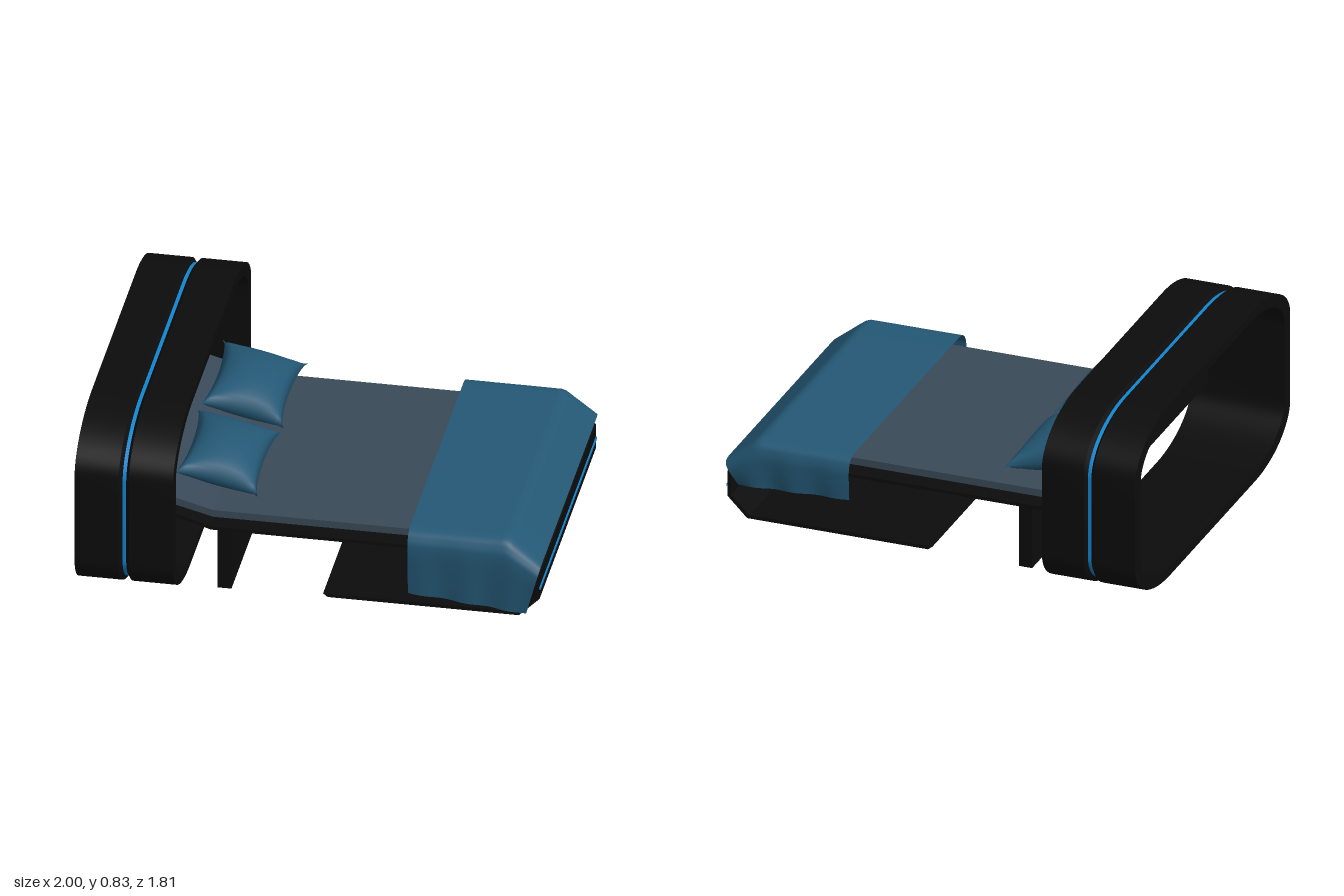
import * as THREE from 'three';
import { toCreasedNormals, mergeGeometries, mergeVertices } from 'three/addons/utils/BufferGeometryUtils.js';

const V2 = (x, y) => new THREE.Vector2(x, y);

function mat(name, color, side = THREE.FrontSide) {
  const m = new THREE.MeshStandardMaterial({ color, side });
  m.name = name;
  return m;
}

// Surface through rows of points (each row has the same length)
function loft(rows) {
  const n = rows[0].length, index = [];
  for (let i = 0; i < rows.length - 1; i++) {
    for (let j = 0; j < n - 1; j++) {
      const a = i * n + j, b = a + n;
      index.push(a, b, a + 1, b, b + 1, a + 1);
    }
  }
  const geo = new THREE.BufferGeometry();
  geo.setAttribute('position', new THREE.Float32BufferAttribute(rows.flat(2), 3));
  geo.setIndex(index);
  geo.computeVertexNormals();
  return geo;
}

// Closed outline with elliptical corners, standing in the z-y plane
function outline(x, halfZ, halfY, rz, ry) {
  const pts = [], steps = 14;
  for (let q = 0; q < 4; q++) {
    for (let k = 0; k <= steps; k++) {
      const a = (q + k / steps) * Math.PI / 2;
      const sz = q === 0 || q === 3 ? -1 : 1, sy = q < 2 ? 1 : -1;
      pts.push([x, 0.42 + sy * (halfY - ry) + ry * Math.sin(a), sz * (halfZ - rz) - rz * Math.cos(a)]);
    }
  }
  pts.push([...pts[0]]);
  return pts;
}
const outer = (x, inset) => outline(x, 0.905 - inset, 0.41 - inset, 0.405, 0.205);
const inner = (x) => outline(x, 0.84, 0.37, 0.4, 0.185);

// Side profile in x-y, extruded across z
function slab(points, z0, z1) {
  const shape = new THREE.Shape(points.map(([x, y]) => V2(x, y)));
  return new THREE.ExtrudeGeometry(shape, { depth: z1 - z0, bevelEnabled: false }).translate(0, 0, z0);
}

// Plump cushion with pinched edges and pointed corners
function pillowGeometry(halfX, halfZ, halfT) {
  const sides = [1, -1].map((s) => {
    const g = new THREE.PlaneGeometry(2, 2, 24, 28).rotateX(-s * Math.PI / 2);
    g.deleteAttribute('uv');
    g.deleteAttribute('normal');
    const p = g.attributes.position;
    for (let i = 0; i < p.count; i++) {
      const u = p.getX(i), v = p.getZ(i);
      const fu = Math.max(0, 1 - u * u), fv = Math.max(0, 1 - v * v);
      p.setXYZ(i,
        u * (halfX - 0.032 * Math.pow(fv, 0.6)),
        s * halfT * Math.pow(fu * fv, 0.48),
        v * (halfZ - 0.045 * Math.pow(fu, 0.6)));
    }
    return g;
  });
  const geo = mergeVertices(mergeGeometries(sides), 1e-4);
  geo.computeVertexNormals();
  return geo;
}

// Throw draped over the foot of the bed, longer on one side
function throwGeometry() {
  const section = new THREE.SplineCurve([
    V2(0.688, 0), V2(0.697, 0.13), V2(0.704, 0.27), V2(0.695, 0.335), V2(0.65, 0.38), V2(0.5, 0.387),
    V2(0, 0.387), V2(-0.5, 0.387), V2(-0.63, 0.382), V2(-0.665, 0.34), V2(-0.668, 0.27), V2(-0.662, 0.19),
  ]).getPoints(66);
  const rows = [], steps = 30;
  for (let i = 0; i <= steps; i++) {
    const u = i / steps;
    const xTop = 0.415 + 0.58 * u;
    const top = 0.387 - 0.8 * Math.max(0, xTop - 0.85);
    rows.push(section.map(({ x: z, y }) => {
      const bottom = z > 0 ? 0.08 - 0.05 * u : 0.19 - 0.02 * u;
      const base = z > 0 ? 0 : 0.19;
      const h = Math.min(1, (y - base) / (0.387 - base));
      const hang = 1 - h;
      const x = xTop - 0.065 * u * u * hang;
      const fold = 0.006 * hang * Math.sin(u * 17) * Math.sign(z);
      return [x, bottom + (top - bottom) * h, z + fold];
    }));
  }
  return loft(rows);
}

export function createModel() {
  const model = new THREE.Group();
  model.name = 'bed';
  const black = mat('black lacquer', 0x0c0c0c);
  const blue = mat('blue light strip', 0x1187d2);
  const grey = mat('slate mattress', 0x3a4a58);
  const fabric = mat('blue fabric', 0x245875);
  const drape = mat('blue throw fabric', 0x245875, THREE.DoubleSide);
  const add = (name, geo, material, parent = model) => {
    const mesh = new THREE.Mesh(geo, material);
    mesh.name = name;
    parent.add(mesh);
    return mesh;
  };

  // Headboard loop with a light strip set in a groove
  const headboard = new THREE.Group();
  headboard.name = 'headboardLoop';
  model.add(headboard);
  const band = loft([
    outer(-0.793, 0.014), outer(-0.807, 0), outer(-1, 0), inner(-1),
    inner(-0.57), outer(-0.57, 0), outer(-0.763, 0), outer(-0.777, 0.014),
  ]);
  add('headboardBand', toCreasedNormals(band, 0.5), black, headboard);
  add('headboardLightStrip', loft([outer(-0.777, 0.014), outer(-0.793, 0.014)]), blue, headboard);

  // Folded ribbon frame: sloped head, deck, foot and floor plate
  add('frame', slab([
    [-0.72, 0.37], [-0.45, 0.288], [0.89, 0.288], [0.97, 0.21], [0.97, 0.105], [0.885, 0.024], [0.04, 0.024],
    [0.06, 0.008], [0.895, 0.008], [0.985, 0.098], [0.985, 0.218], [0.9, 0.304], [-0.45, 0.304], [-0.72, 0.386],
  ], -0.64, 0.665), black);
  add('legPanel', new THREE.BoxGeometry(0.06, 0.285, 1.305).translate(-0.39, 0.1465, 0.0125), black);
  add('footLightStrip', new THREE.BoxGeometry(0.006, 0.013, 1.305).translate(0.987, 0.151, 0.0125), blue);

  // Mattress with raised head and end lip
  add('mattress', slab([
    [-0.72, 0.39], [-0.45, 0.32], [0.87, 0.32], [0.87, 0.353], [-0.45, 0.353], [-0.72, 0.425],
  ], -0.58, 0.61), grey);
  add('mattressEndLip', new THREE.BoxGeometry(0.012, 0.065, 1.195).translate(-0.726, 0.4075, 0.0175), black);

  // Pillows
  const pillow = pillowGeometry(0.19, 0.28, 0.095);
  [['leftPillow', 0.3], ['rightPillow', -0.292]].forEach(([name, z]) => {
    const p = add(name, pillow, fabric);
    p.position.set(-0.445, 0.462, z);
    p.rotation.z = -0.21;
  });

  add('throwBlanket', throwGeometry(), drape);
  return model;
}
